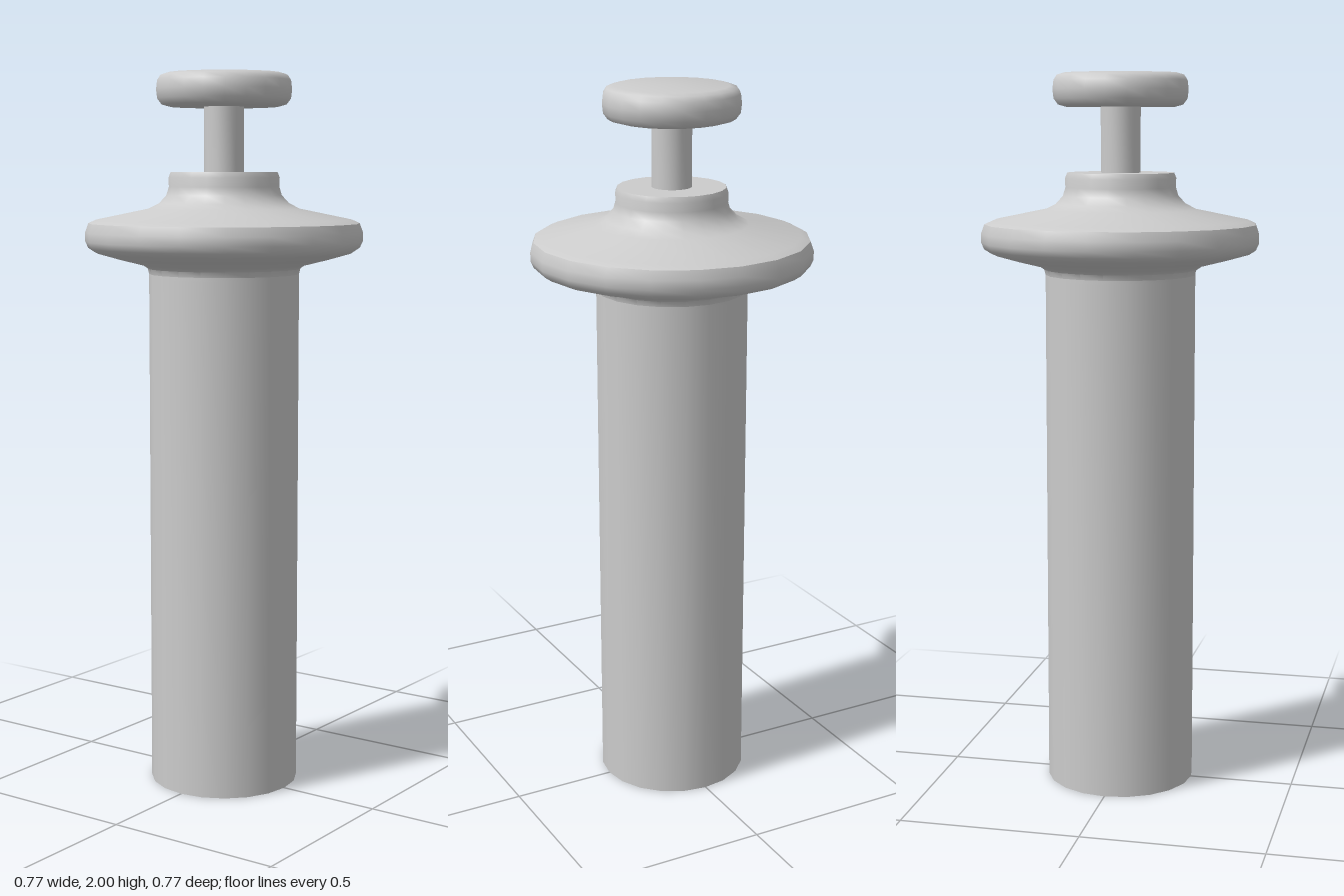
import * as THREE from 'three';
import { toCreasedNormals } from 'three/addons/utils/BufferGeometryUtils.js';

const SIDES = 20;
const material = new THREE.MeshStandardMaterial({ color: 0xcccccc });

// Revolve a bottom-to-top [radius, height] profile, keeping sharp rims crisp
function turned(name, profile) {
  const points = profile.map(([r, y]) => new THREE.Vector2(r, y));
  const geometry = toCreasedNormals(new THREE.LatheGeometry(points, SIDES), 0.75);
  const mesh = new THREE.Mesh(geometry, material);
  mesh.name = name;
  return mesh;
}

export function createModel() {
  const group = new THREE.Group();
  group.name = 'plunger';

  // Long cylindrical body with a closed base
  group.add(turned('body', [[0, 0], [0.209, 0], [0.209, 1.44], [0.209, 1.47]]));

  // Wide hand flange sweeping up into the collar
  group.add(turned('flange', [
    [0.209, 1.45], [0.213, 1.465], [0.228, 1.475], [0.30, 1.493], [0.36, 1.51],
    [0.378, 1.522], [0.386, 1.54], [0.386, 1.565], [0.377, 1.59], [0.355, 1.6],
    [0.21, 1.63], [0.18, 1.645], [0.16, 1.667], [0.153, 1.69],
    [0.154, 1.715], [0.148, 1.73], [0, 1.73],
  ]));

  // Thin rod between collar and knob
  group.add(turned('rod', [[0.055, 1.72], [0.055, 1.92]]));

  // Rounded thumb knob
  group.add(turned('knob', [
    [0, 1.908], [0.15, 1.908], [0.172, 1.914], [0.184, 1.93],
    [0.187, 1.955], [0.184, 1.98], [0.175, 1.994], [0.155, 2], [0, 2],
  ]));

  return group;
}
